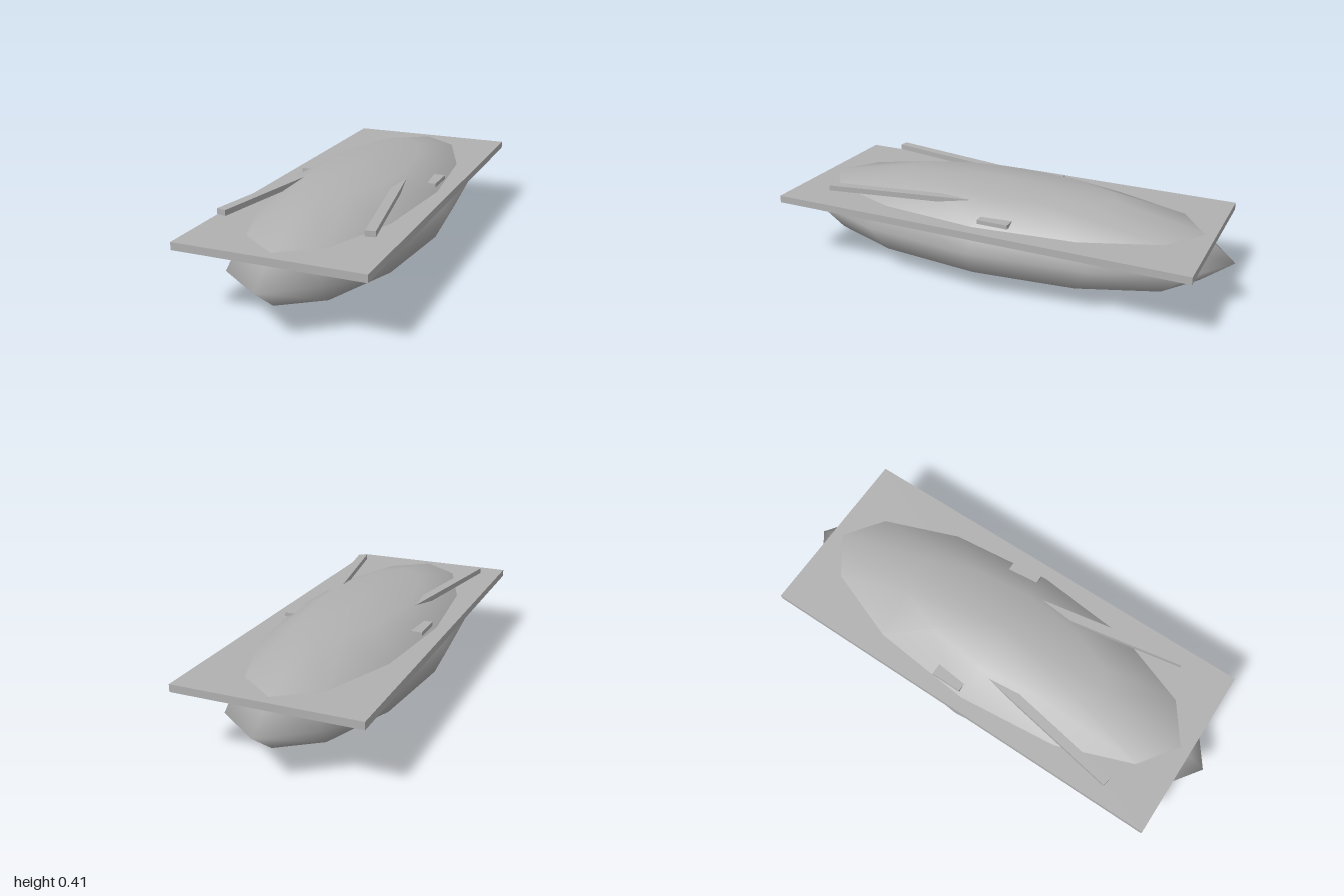
import * as THREE from 'three';

export function createModel() {
  const model = new THREE.Group();
  const grey = new THREE.MeshStandardMaterial({ color: 0xb0b0b0 });
  grey.name = 'grey';

  const add = (name, geometry, x, y, z, turn = 0) => {
    const mesh = new THREE.Mesh(geometry, grey);
    mesh.name = name;
    mesh.position.set(x, y, z);
    mesh.rotation.y = turn;
    model.add(mesh);
    return mesh;
  };

  // Long faceted hull with smooth shading, pointed at bow and stern
  const hull = new THREE.SphereGeometry(1, 12, 6);
  hull.scale(0.375, 0.2075, 1);
  add('hull', hull, 0, 0.2075, 0);

  // Flat rectangular deck cutting through the hull
  add('deck', new THREE.BoxGeometry(0.766, 0.031, 1.83), 0, 0.292, 0);

  // Bars splaying forward out of the hull, and a small block on each flank
  const angle = THREE.MathUtils.degToRad(10);
  const length = 0.75;
  for (const side of [1, -1]) {
    const name = side > 0 ? 'left' : 'right';
    add(name + 'Bar', new THREE.BoxGeometry(0.04, 0.023, length),
      side * (0.302 - Math.sin(angle) * length / 2), 0.36,
      0.695 - Math.cos(angle) * length / 2, side * angle);
    add(name + 'Block', new THREE.BoxGeometry(0.1, 0.017, 0.135), side * 0.263, 0.328, -0.083);
  }
  return model;
}
